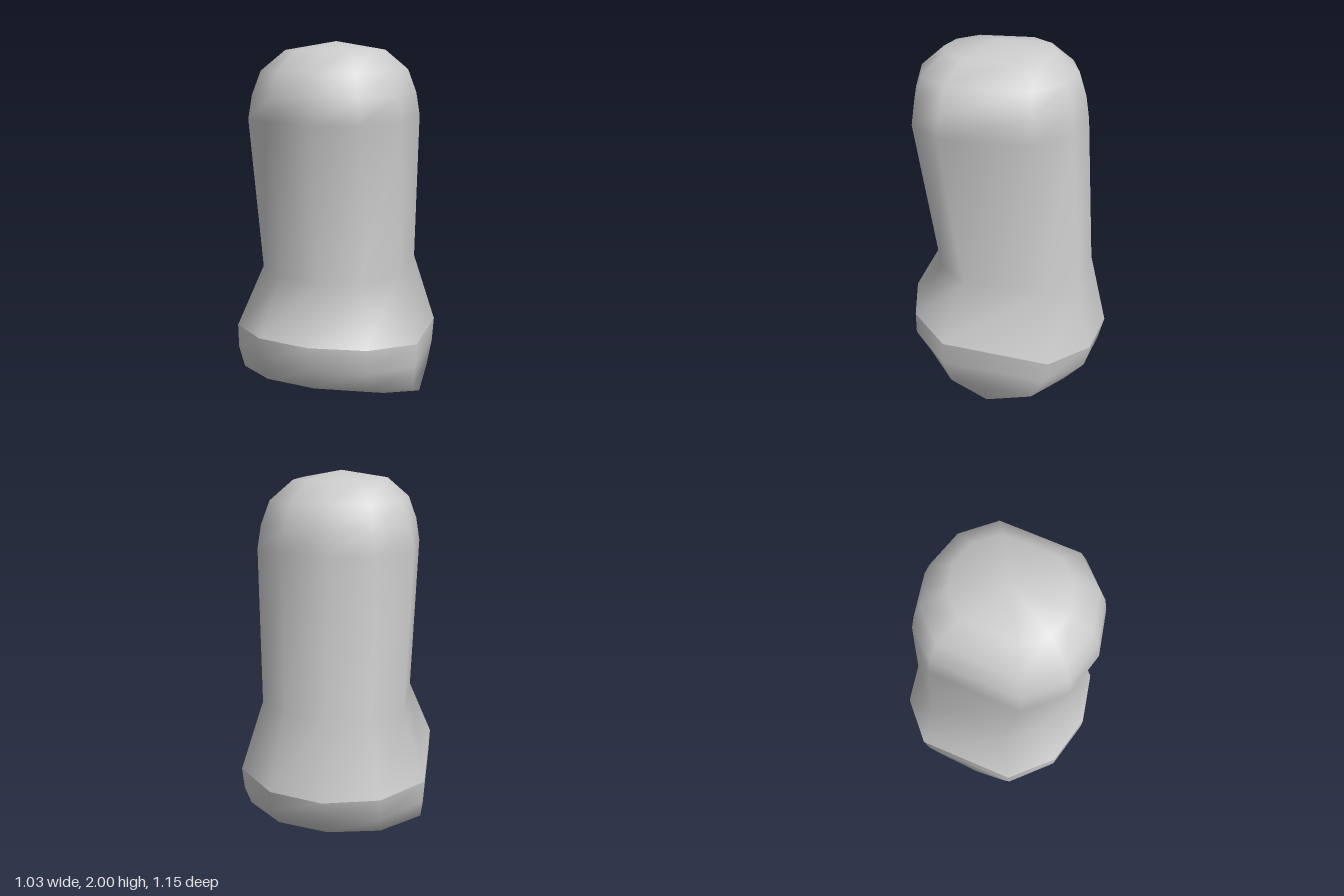
import * as THREE from 'three';

// Ten-sided section, as (x, z) multiples of the ring's half width and half depth
const quarter = [[0, 1], [0.58, 0.88], [1, 0.51]];
const half = [...quarter, ...quarter.map(([x, z]) => [x, -z]).reverse()];
const section = [...half, ...half.slice(1, -1).map(([x, z]) => [-x, z]).reverse()];

// Ring tilted evenly from its front point to its back point
function ring(halfWidth, frontZ, frontY, backZ = -frontZ, backY = frontY) {
  return section.map(([x, z]) => {
    const t = (z + 1) / 2;
    return [x * halfWidth, backY + (frontY - backY) * t, backZ + (frontZ - backZ) * t];
  });
}

// Skin over rings listed from bottom to top, with an optional point closing the top
function loft(name, rings, apex) {
  const n = section.length;
  const points = rings.flat();
  const index = [];
  for (let r = 0; r < rings.length - 1; r++) {
    for (let i = 0; i < n; i++) {
      const a = r * n + i, b = r * n + (i + 1) % n;
      index.push(a, b, b + n, a, b + n, a + n);
    }
  }
  if (apex) {
    const last = (rings.length - 1) * n;
    points.push(apex);
    for (let i = 0; i < n; i++) index.push(last + i, last + (i + 1) % n, points.length - 1);
  }
  const geometry = new THREE.BufferGeometry();
  geometry.setAttribute('position', new THREE.Float32BufferAttribute(points.flat(), 3));
  geometry.setIndex(index);
  geometry.computeVertexNormals();
  const mesh = new THREE.Mesh(geometry, new THREE.MeshStandardMaterial({ color: 0xcccccc, side: THREE.DoubleSide }));
  mesh.name = name;
  return mesh;
}

export function createModel() {
  const group = new THREE.Group();
  group.name = 'roundedPost';
  const rim = ring(0.515, 0.575, 0.46, -0.575, 0.33);

  // Underside folds to a crosswise keel that lifts at both ends
  const keel = section.map(([x]) => [x * 0.495, Math.abs(x) > 0.9 ? 0.045 : 0, 0.055]);
  group.add(loft('base', [
    keel,
    ring(0.495, 0.48, 0.19, -0.42, 0.075),
    ring(0.51, 0.575, 0.33, -0.545, 0.2),
    rim,
  ]));

  // Leaning shaft, flared onto the rim and rounded at the top
  group.add(loft('shaft', [
    rim,
    ring(0.39, 0.41, 0.76, -0.475),
    ring(0.415, 0.53, 1.6, -0.42),
    ring(0.395, 0.51, 1.725, -0.4),
    ring(0.35, 0.47, 1.85, -0.36),
    ring(0.235, 0.345, 1.955, -0.235),
  ], [0, 2, 0.055]));
  return group;
}
